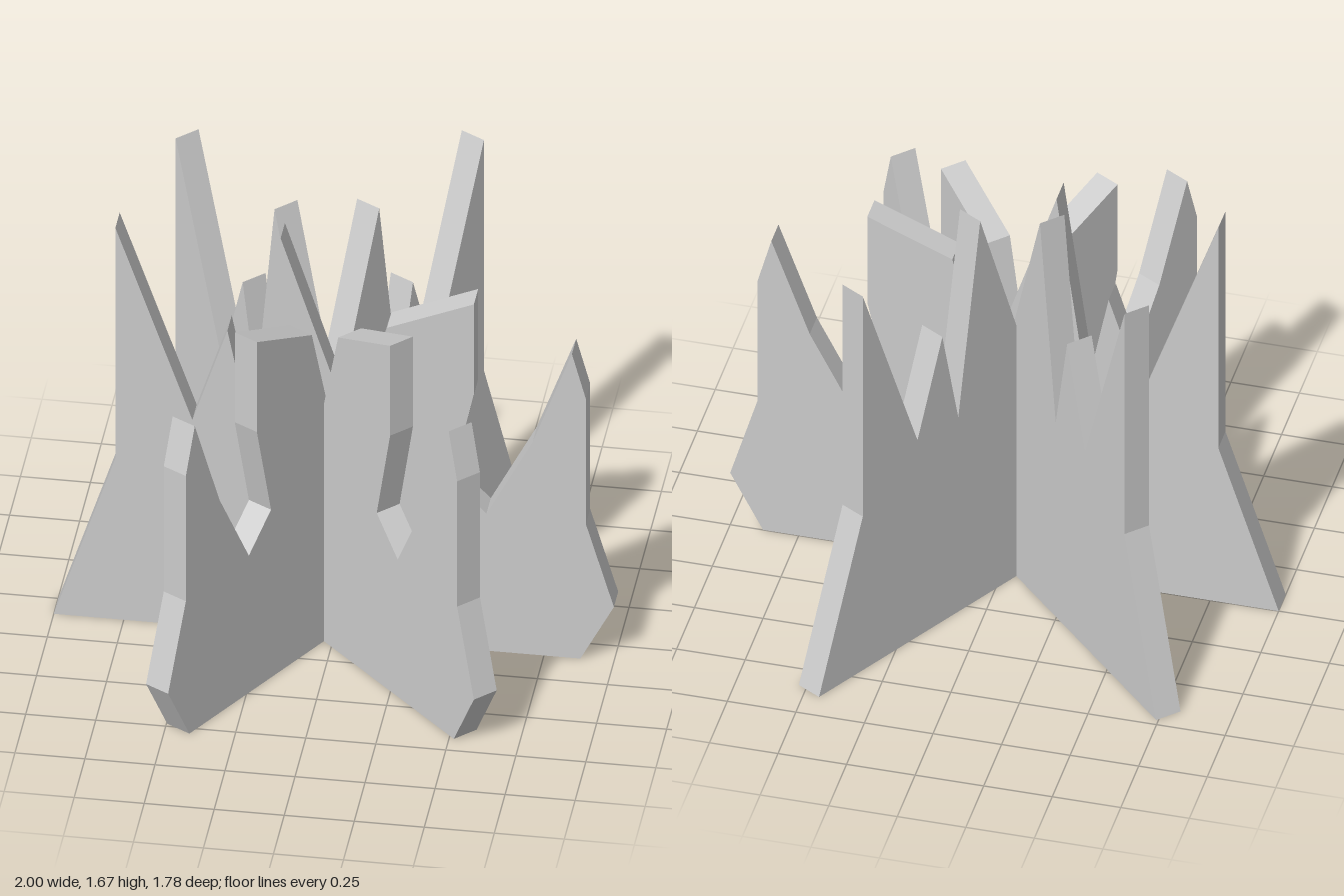
import * as THREE from 'three';

// Jagged outline shared by every slab, as [along, height]
const OUTLINE = [
  [-1, 0], [0.88, 0], [1, 0.23], [0.9, 0.57], [0.9, 1.1], [0.85, 1.285],
  [0.71, 0.9], [0.545, 0.58], [0.42, 0.71], [0.5, 1.08], [0.5, 1.46],
  [0.19, 1.33], [0.07, 0.87], [-0.19, 1.67], [-0.3, 0.86], [-0.38, 1.26],
  [-0.505, 0.87], [-0.78, 1.655], [-0.78, 0.68],
];
const THICKNESS = 0.1;

export function createModel() {
  const model = new THREE.Group();
  model.name = 'crossedSlabs';
  const material = new THREE.MeshStandardMaterial({ color: 0xcccccc, flatShading: true });

  const shape = new THREE.Shape(OUTLINE.map(([x, y]) => new THREE.Vector2(x, y)));
  const geometry = new THREE.ExtrudeGeometry(shape, { depth: THICKNESS, bevelEnabled: false });
  geometry.translate(0, 0, -THICKNESS / 2);

  // Three copies fanned around the middle: name, centre x, centre z, turn in degrees
  const slabs = [
    ['straightSlab', 0, 0.05, 0],
    ['leftDiagonalSlab', -0.07, 0.018, -45],
    ['rightDiagonalSlab', -0.0135, -0.003, -120],
  ];
  for (const [name, x, z, degrees] of slabs) {
    const slab = new THREE.Mesh(geometry, material);
    slab.name = name;
    slab.position.set(x, 0, z);
    slab.rotation.y = THREE.MathUtils.degToRad(degrees);
    model.add(slab);
  }
  return model;
}
